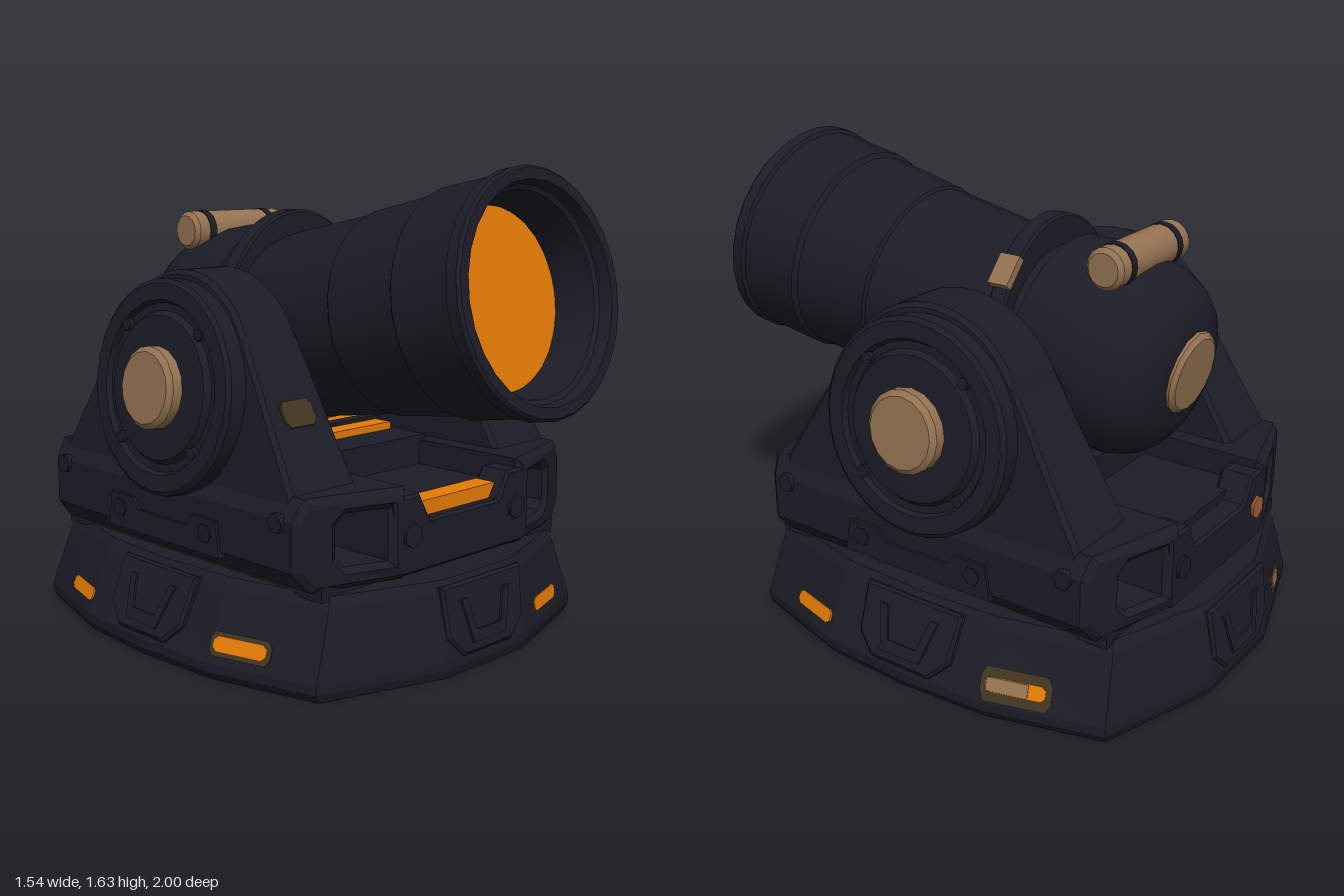
import * as THREE from 'three';
import { toCreasedNormals } from 'three/addons/utils/BufferGeometryUtils.js';

const mat = (name, color) => Object.assign(new THREE.MeshStandardMaterial({ color }), { name });
const ZC = -0.125; // middle of the base along z

export function createModel() {
  const dark = mat('darkShell', 0x1c1c27);
  const orange = mat('orangeGlow', 0xe67b06);
  const tan = mat('tanMetal', 0x957352);
  const brown = mat('brownUnderside', 0x9d5c32);
  const olive = mat('oliveMark', 0x40351f);

  const model = new THREE.Group();
  model.name = 'lampCannon';
  const add = (parent, name, geo, material, x = 0, y = 0, z = 0) => {
    const m = new THREE.Mesh(geo, material);
    m.name = name;
    m.position.set(x, y, z);
    parent.add(m);
    return m;
  };
  const group = (parent, name, x = 0, y = 0, z = 0) => {
    const g = new THREE.Group();
    g.name = name;
    g.position.set(x, y, z);
    parent.add(g);
    return g;
  };
  const box = (w, h, d) => new THREE.BoxGeometry(w, h, d);
  const cyl = (r, h, n = 20) => new THREE.CylinderGeometry(r, r, h, n);
  const poly = (pts) => new THREE.Shape(pts.map(([x, y]) => new THREE.Vector2(x, y)));
  const extrude = (shape, depth, bevel = 0) => new THREE.ExtrudeGeometry(shape, {
    depth, bevelEnabled: bevel > 0, bevelSize: bevel, bevelThickness: bevel, bevelOffset: -bevel, bevelSegments: 1, curveSegments: 16,
  });
  const lathe = (pts, n = 28) => toCreasedNormals(
    new THREE.LatheGeometry(pts.map(([r, t]) => new THREE.Vector2(r, t)), n), 0.5);
  // Move every vertex by a rule, then refresh the flat normals
  const bend = (geo, rule) => {
    const p = geo.attributes.position;
    for (let i = 0; i < p.count; i++) p.setXYZ(i, ...rule(p.getX(i), p.getY(i), p.getZ(i)));
    geo.computeVertexNormals();
    return geo;
  };

  // Base: many-sided footprint lofted through a few heights
  const half = [[0.2, 0.86], [0.64, 0.72], [0.75, 0.33], [0.77, 0], [0.75, -0.33], [0.64, -0.72], [0.2, -0.86]];
  const foot = [...half, ...half.slice().reverse().map(([x, z]) => [-x, z])];
  const levels = [[0, 0.975, 0.99], [0.03, 1, 1], [0.06, 1, 1], [0.28, 0.88, 0.965], [0.315, 0.85, 0.945]];
  const loft = (rings, capTop) => {
    const p = [], n = foot.length;
    const at = ([y, sx, sz], i) => [foot[i % n][0] * sx, y, foot[i % n][1] * sz];
    for (let i = 0; i < n; i++) {
      for (let k = 0; k + 1 < rings.length; k++) {
        const a = at(rings[k], i), b = at(rings[k], i + 1), c = at(rings[k + 1], i + 1), d = at(rings[k + 1], i);
        p.push(...a, ...b, ...d, ...b, ...c, ...d);
      }
      const ring = rings[capTop ? rings.length - 1 : 0];
      const [a, b] = capTop ? [at(ring, i), at(ring, i + 1)] : [at(ring, i + 1), at(ring, i)];
      p.push(0, ring[0], 0, ...a, ...b);
    }
    const g = new THREE.BufferGeometry();
    g.setAttribute('position', new THREE.Float32BufferAttribute(p, 3));
    g.computeVertexNormals();
    return g;
  };
  const base = group(model, 'base', 0, 0, ZC);
  add(base, 'baseShell', loft(levels, true), dark);
  add(base, 'baseUnderside', loft(levels.slice(0, 1), false), brown);
  add(base, 'turntable', box(1.16, 0.05, 1.36), dark, 0, 0.325, 0);

  // Latch panels in the middle of each side, with a raised trapezoid frame
  const frame = poly([[-0.12, 0.075], [-0.09, 0.075], [-0.06, -0.035], [0.06, -0.035], [0.09, 0.075], [0.12, 0.075], [0.08, -0.075], [-0.08, -0.075]]);
  const panel = poly([[-0.2, 0.12], [0.2, 0.12], [0.19, -0.05], [0.12, -0.12], [-0.12, -0.12], [-0.19, -0.05]]);
  [[0, 0.815, 0.16], [Math.PI, 0.815, 0.16], [Math.PI / 2, 0.692, 0.4], [-Math.PI / 2, 0.692, 0.4]].forEach(([yaw, d, tilt]) => {
    const g = group(base, 'latchPanel', Math.sin(yaw) * d, 0.175, Math.cos(yaw) * d);
    g.rotation.order = 'YXZ';
    g.rotation.set(-tilt, yaw, 0);
    add(g, 'panelPlate', extrude(panel, 0.03, 0.01), dark);
    add(g, 'latchFrame', extrude(frame, 0.01), dark, 0, -0.01, 0.038);
  });

  // Marker lamps around the base; some sit on a dim plate or have a tan lens
  const lampShape = (l, h) => poly([[-l, h / 2], [-l + 0.015, h], [l - 0.015, h], [l, h / 2], [l, -h / 2], [l - 0.015, -h], [-l + 0.015, -h], [-l, -h / 2]]);
  const addLamp = (x, z, yaw, tilt, material, length = 0.1) => {
    const g = group(base, 'markerLamp', x, 0.115, z);
    g.rotation.order = 'YXZ';
    g.rotation.set(-tilt, yaw, 0);
    add(g, 'lampLens', extrude(lampShape(length, 0.024), 0.021), material);
    return g;
  };
  const sideYaw = Math.PI / 2 - 0.27;
  addLamp(0.4, 0.769, 0.3, 0.16, orange);
  add(addLamp(-0.42, -0.763, Math.PI + 0.3, 0.16, tan, 0.05), 'lampPlate', extrude(lampShape(0.075, 0.04), 0.018), olive);
  addLamp(0.684, 0.43, sideYaw, 0.4, orange);
  addLamp(-0.684, -0.42, sideYaw + Math.PI, 0.4, orange);
  const rearLamp = addLamp(0.684, -0.42, Math.PI - sideYaw, 0.4, orange);
  add(rearLamp, 'lampPlate', extrude(lampShape(0.12, 0.055), 0.018), olive);
  add(rearLamp, 'lampInset', box(0.14, 0.044, 0.006), tan, -0.028, 0, 0.022);
  add(addLamp(-0.684, 0.43, -sideYaw, 0.4, orange), 'lampPlate', extrude(lampShape(0.115, 0.04), 0.018), olive);

  // Yoke sides: the same arm turned half round for the other side
  const footShape = poly([[0.28, 0.33], [0.6, 0.33], [0.66, 0.4], [0.66, 0.56], [0.62, 0.63], [0.28, 0.63]]);
  footShape.holes.push(poly([[0.345, 0.4], [0.345, 0.57], [0.49, 0.57], [0.52, 0.54], [0.52, 0.43], [0.49, 0.4]]));
  // The ends of the foot step back toward its outer face
  const footGeo = bend(extrude(footShape, 1.48, 0.02).translate(0, 0, -0.74),
    (x, y, z) => [x, y, z * (1 - 0.45 * Math.max(0, x - 0.33))]);
  const armShape = new THREE.Shape();
  armShape.moveTo(-0.6, 0.57);
  armShape.lineTo(0.6, 0.57);
  armShape.lineTo(0.6, 0.63);
  armShape.lineTo(0.335, 1.066);
  armShape.absarc(0, 0.91, 0.37, 0.435, Math.PI - 0.435, false);
  armShape.lineTo(-0.6, 0.63);
  // The outer face of the arm leans outward toward the foot
  const armGeo = bend(extrude(armShape, 0.18, 0.015).rotateY(Math.PI / 2).translate(0.365, 0, 0),
    (x, y, z) => [x > 0.45 ? x + 0.11 * (1.28 - y) : x, y, z]);
  const sidePlate = poly([[-0.3, 0.38], [0.3, 0.38], [0.28, 0.5], [0.16, 0.5], [0.13, 0.46], [-0.13, 0.46], [-0.16, 0.5], [-0.28, 0.5]]);

  for (const s of [1, -1]) {
    const side = group(model, s > 0 ? 'leftYoke' : 'rightYoke', 0, 0, ZC);
    if (s < 0) side.rotation.y = Math.PI;
    add(side, 'yokeFoot', footGeo, dark);
    add(side, 'yokeArm', armGeo, dark);
    add(side, 'sidePlate', extrude(sidePlate, 0.03).rotateY(Math.PI / 2), dark, 0.64, 0, 0);
    for (const [z, y] of [[0.57, 0.55], [-0.57, 0.55], [0.23, 0.45], [-0.23, 0.45]]) {
      add(side, 'yokeBolt', cyl(0.033, 0.05, 6).rotateZ(Math.PI / 2), dark, 0.65, y, z);
    }
    // Pivot hub
    const hub = group(side, 'pivotHub', 0.6, 0.892, 0);
    hub.rotation.z = -(Math.PI / 2 - 0.1);
    add(hub, 'hubDisc', lathe([[0.36, -0.04], [0.36, 0.06], [0.345, 0.072], [0.29, 0.072], [0.28, 0.055], [0.255, 0.055], [0.24, 0.075], [0, 0.085]], 32), dark);
    add(hub, 'hubCap', lathe([[0.138, 0.05], [0.138, 0.115], [0.12, 0.13], [0, 0.13]], 16), tan);
    for (let k = 0; k < 4; k++) {
      const a = Math.PI / 4 + k * Math.PI / 2;
      add(hub, 'hubBolt', cyl(0.02, 0.03, 8), dark, 0.27 * Math.cos(a), 0.06, 0.27 * Math.sin(a));
    }
    // Dim mark on the front slope of the arm
    const mark = add(model, 'armMark', extrude(lampShape(0.065, 0.045), 0.008), olive, s * 0.48, 0.85, 0.342);
    mark.rotation.x = -0.546;
  }

  // Deck between the yoke feet, with notched end plates
  const deck = group(model, 'deck', 0, 0, ZC);
  add(deck, 'deckBlock', box(0.66, 0.21, 1.36), dark, 0, 0.435, 0);
  const endShape = poly([[-0.31, 0.34], [0.31, 0.34], [0.34, 0.6], [0.22, 0.6], [0.17, 0.51], [-0.17, 0.51], [-0.22, 0.6], [-0.34, 0.6]]);
  for (const end of [0, Math.PI]) {
    const g = group(deck, 'deckEnd');
    g.rotation.y = end;
    add(g, 'endPlate', extrude(endShape, 0.1, 0.01), dark, 0, 0, 0.65);
    for (const x of [-0.26, 0.26]) {
      add(g, 'endBolt', cyl(0.042, 0.04, 6).rotateX(Math.PI / 2), end && x > 0 ? brown : dark, x, 0.47, 0.75);
    }
  }
  const glowBar = poly([[-0.155, 0.512], [0.155, 0.512], [0.185, 0.562], [-0.185, 0.562]]);
  add(deck, 'frontGlowBar', extrude(glowBar, 0.08), orange, 0, 0, 0.65);
  add(deck, 'innerStep', box(0.62, 0.11, 0.6), dark, 0, 0.593, 0);
  add(deck, 'innerGlow', box(0.57, 0.03, 0.3), orange, 0, 0.66, 0);
  for (const z of [-0.09, 0.05]) add(deck, 'innerSlat', box(0.59, 0.025, 0.05), dark, 0, 0.675, z);

  // Barrel, turned about its tilted axis; origin at the muzzle centre
  const TILT = 1.39;
  const barrel = group(model, 'barrel', 0, 1.24, 0.93);
  barrel.rotation.x = TILT;
  add(barrel, 'barrelTube', lathe([[0, -1.2], [0.318, -1.2], [0.335, -0.95], [0.342, -0.6], [0.35, -0.59], [0.364, -0.3],
    [0.378, -0.285], [0.382, -0.06], [0.394, -0.05], [0.394, -0.01], [0.385, 0], [0.35, 0], [0.34, -0.04], [0.325, -0.05], [0.295, -0.2]], 28), dark);
  add(barrel, 'lens', cyl(0.3, 0.01, 20), orange, 0, -0.19, 0);

  // Domed rear housing with its cap
  const dome = add(model, 'rearHousing', lathe([[0, 0], [0.16, 0.005], [0.215, 0.018], [0.26, 0.045], [0.3, 0.09], [0.33, 0.16],
    [0.345, 0.26], [0.345, 0.38], [0.325, 0.5], [0, 0.5]], 28), dark, 0, 0.99, -0.735);
  dome.rotation.x = TILT;
  const cap = add(model, 'rearCap', lathe([[0, -0.022], [0.125, -0.022], [0.142, -0.008], [0.142, 0.05]], 14), tan, 0, 1.018, -0.737);
  cap.rotation.x = TILT;

  // Arched band over the barrel, with a tan clip on one shoulder
  const band = new THREE.Shape();
  band.absellipse(0, 0, 0.35, 0.42, 0, Math.PI, false);
  add(model, 'barrelBand', extrude(band, 0.055, 0.008), dark, 0, 1.04, -0.222);
  const clip = add(model, 'bandClip', box(0.11, 0.03, 0.076), tan, 0.262, 1.325, -0.195);
  clip.rotation.z = -0.83;

  // Crosswise canister on top
  const canister = group(model, 'topCanister', 0, 1.378, -0.535);
  canister.rotation.z = Math.PI / 2;
  add(canister, 'canisterBody', lathe([[0, -0.22], [0.055, -0.22], [0.07, -0.205], [0.07, 0.205], [0.055, 0.22], [0, 0.22]], 16), tan);
  for (const t of [-0.145, 0.145]) add(canister, 'canisterStrap', cyl(0.073, 0.03, 16), dark, 0, t, 0);

  return model;
}
